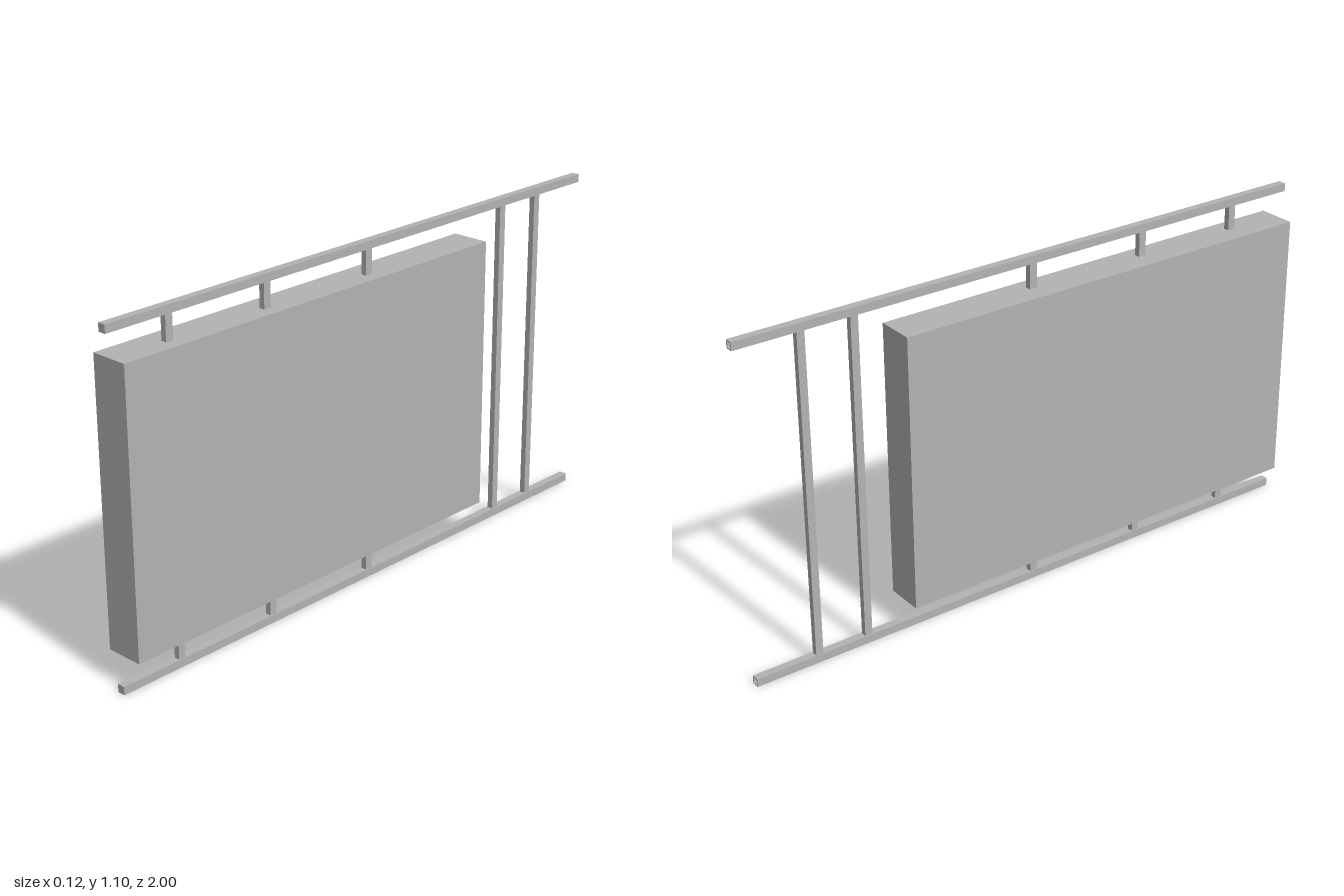
import * as THREE from 'three';

export function createModel() {
  const model = new THREE.Group();
  const grey = new THREE.MeshStandardMaterial({ color: 0xb3b3b3 });
  grey.name = 'grey metal';

  const RAIL = 0.026, HEIGHT = 1.099, RAIL_X = 0.0115;
  const PANEL = { bottom: 0.102, top: 0.993, back: -0.487, front: 0.973, width: 0.125 };

  function add(name, geometry, x, y, z) {
    const mesh = new THREE.Mesh(geometry, grey);
    mesh.name = name;
    mesh.position.set(x, y, z);
    model.add(mesh);
  }

  function square(Type, half) {
    return new Type([[-half, -half], [half, -half], [half, half], [-half, half]]
      .map(([x, y]) => new THREE.Vector2(x, y)));
  }

  // Upright between two heights
  function post(name, z, y0, y1) {
    add(name, new THREE.BoxGeometry(0.019, y1 - y0, 0.025), RAIL_X, (y0 + y1) / 2, z);
  }

  // Sign box
  add('panel',
    new THREE.BoxGeometry(PANEL.width, PANEL.top - PANEL.bottom, PANEL.front - PANEL.back),
    0, (PANEL.top + PANEL.bottom) / 2, (PANEL.front + PANEL.back) / 2);

  // Square tube rails, open at the back and capped at the front
  const section = square(THREE.Shape, RAIL / 2);
  section.holes.push(square(THREE.Path, RAIL / 2 - 0.004));
  const tube = new THREE.ExtrudeGeometry(section, { depth: 1.996, bevelEnabled: false });
  const cap = new THREE.BoxGeometry(RAIL, RAIL, 0.004);
  for (const [name, y] of [['bottomRail', RAIL / 2], ['topRail', HEIGHT - RAIL / 2]]) {
    add(name, tube, RAIL_X, y, -1);
    add(name + 'Cap', cap, RAIL_X, y, 0.998);
  }

  // Short brackets holding the panel to both rails
  for (const z of [0.779, 0.415, 0]) {
    post('lowerBracket', z, RAIL, PANEL.bottom);
    post('upperBracket', z, PANEL.top, HEIGHT - RAIL);
  }

  // Full height posts behind the panel
  for (const z of [-0.616, -0.787]) post('post', z, RAIL, HEIGHT - RAIL);

  return model;
}
